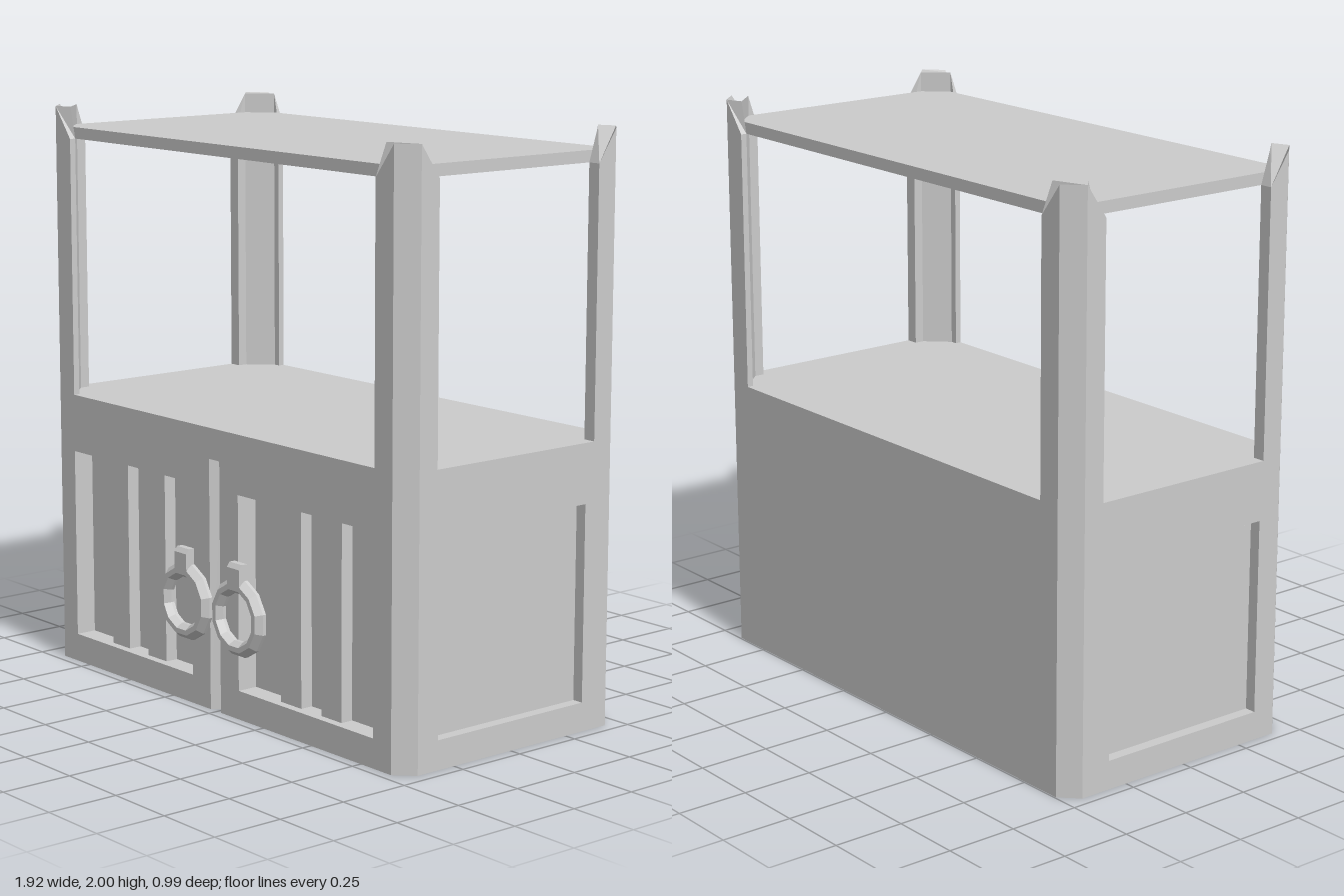
import * as THREE from 'three';

const mat = new THREE.MeshStandardMaterial({ color: 0xcccccc, flatShading: true, side: THREE.DoubleSide });

const HX = 0.96, HZ = 0.48, CH = 0.06; // half width, half depth, corner chamfer
const BODY_H = 0.98, TOTAL_H = 2, PANEL_LOW = 0.1, PANEL_HIGH = 0.775;

function mesh(name, geometry, parent) {
  const m = new THREE.Mesh(geometry, mat);
  m.name = name;
  parent.add(m);
  return m;
}

const path = (pts, Type = THREE.Shape) => new Type(pts.map(([x, y]) => new THREE.Vector2(x, y)));
const rect = (x0, x1, y0, y1) => [[x0, y0], [x1, y0], [x1, y1], [x0, y1]];

// Rectangle with cut corners, as a plan outline
function octagon(hx, hz, c) {
  return path([[hx, hz - c], [hx - c, hz], [c - hx, hz], [-hx, hz - c],
    [-hx, c - hz], [c - hx, -hz], [hx - c, -hz], [hx, c - hz]]);
}

// Plan outline raised to a given height
function raise(shape, y0, height) {
  const g = new THREE.ExtrudeGeometry(shape, { depth: height, bevelEnabled: false });
  return g.rotateX(-Math.PI / 2).translate(0, y0, 0);
}

// Box without its front, set back behind a wall at z = 0
function recess(x0, x1, depth) {
  const g = new THREE.BoxGeometry(x1 - x0, PANEL_HIGH - PANEL_LOW, depth);
  const index = Array.from(g.index.array);
  index.splice(24, 6);
  g.setIndex(index);
  return g.translate((x0 + x1) / 2, (PANEL_LOW + PANEL_HIGH) / 2, -depth / 2);
}

// Thin wall with recessed panels
function wall(name, outline, panels, depth) {
  const group = new THREE.Group();
  group.name = name;
  const shape = path(outline);
  for (const [a, b] of panels) {
    shape.holes.push(path(rect(a, b, PANEL_LOW, PANEL_HIGH), THREE.Path));
    mesh('recessedPanel', recess(a, b, depth), group);
  }
  mesh('frame', new THREE.ShapeGeometry(shape), group);
  return group;
}

// Bent corner post, its two ends sloping down to the top board
function cornerPost(sx, sz) {
  const section = [[0.815, 0.48], [0.9, 0.48], [0.96, 0.42], [0.96, 0.345],
    [0.915, 0.345], [0.915, 0.38], [0.84, 0.458], [0.815, 0.458]];
  const g = raise(path(section.map(([x, z]) => [x * sx, -z * sz])), BODY_H, TOTAL_H - BODY_H);
  const p = g.attributes.position;
  for (let i = 0; i < p.count; i++) {
    const atEnd = Math.abs(p.getX(i)) < 0.82 || Math.abs(p.getZ(i)) < 0.35;
    if (atEnd && p.getY(i) > 1.5) p.setY(i, 1.89);
  }
  g.computeVertexNormals();
  return g;
}

// Ring pull with a small mounting tab
function ringHandle() {
  const group = new THREE.Group();
  group.name = 'ringHandle';
  const profile = [[0.085, 0], [0.137, 0], [0.137, 0.012], [0.118, 0.034], [0.1, 0.034], [0.085, 0.012], [0.085, 0]];
  const ring = new THREE.LatheGeometry(profile.map(([r, y]) => new THREE.Vector2(r, y)), 12);
  mesh('ring', ring.rotateY(Math.PI / 12).rotateX(Math.PI / 2), group);
  const tab = path([[0, 0.1], [0.034, 0.1], [0.034, 0.172], [0.022, 0.188], [0, 0.188]]);
  const g = new THREE.ExtrudeGeometry(tab, { depth: 0.066, bevelEnabled: false });
  mesh('tab', g.rotateY(-Math.PI / 2).translate(0.033, 0, 0), group);
  return group;
}

export function createModel() {
  const model = new THREE.Group();
  model.name = 'cabinet';
  const body = new THREE.Group();
  body.name = 'body';
  body.position.set(-0.003, 0, -0.015);
  model.add(body);

  // Front with two door panels and a notch for the centre groove
  const fx = HX - CH, sz = HZ - CH;
  const gl = -0.032, gr = 0.024, gm = -0.003, gTop = 0.873, gDepth = 0.035;
  const front = wall('doorFront',
    [[-fx, 0], [gl, 0], [gl, gTop], [gr, gTop], [gr, 0], [fx, 0], [fx, BODY_H], [-fx, BODY_H]],
    [[-0.817, -0.132], [0.123, 0.813]], 0.075);
  front.position.z = HZ;
  body.add(front);

  // Raised slats inside the door panels
  for (const [a, b] of [[-0.637, -0.537], [-0.427, -0.322], [0.313, 0.418], [0.523, 0.623]]) {
    const slat = new THREE.BoxGeometry(b - a, PANEL_HIGH - PANEL_LOW, 0.045);
    mesh('slat', slat.translate((a + b) / 2, (PANEL_LOW + PANEL_HIGH) / 2, -0.052), front);
  }

  // V-shaped groove between the doors
  const groove = new THREE.BufferGeometry();
  groove.setAttribute('position', new THREE.Float32BufferAttribute([
    gl, 0, 0, gm, 0, -gDepth, gr, 0, 0,
    gl, gTop, 0, gm, gTop, -gDepth, gr, gTop, 0], 3));
  groove.setIndex([0, 1, 4, 0, 4, 3, 1, 2, 5, 1, 5, 4, 3, 4, 5]);
  groove.computeVertexNormals();
  mesh('doorGroove', groove, front);

  // Side walls with one panel each
  for (const s of [1, -1]) {
    const c = -0.0125 * s;
    const side = wall('sideWall', rect(-sz, sz, 0, BODY_H), [[c - 0.322, c + 0.322]], 0.04);
    side.rotation.y = s * Math.PI / 2;
    side.position.x = s * HX;
    body.add(side);
  }

  // Plain back wall
  const back = wall('backWall', rect(-fx, fx, 0, BODY_H), [], 0);
  back.rotation.y = Math.PI;
  back.position.z = -HZ;
  body.add(back);

  // Chamfered corners below, posts above
  for (const sx of [1, -1]) {
    for (const s of [1, -1]) {
      const corner = new THREE.PlaneGeometry(CH * Math.SQRT2, BODY_H);
      corner.rotateY(Math.atan2(sx, s));
      corner.translate(sx * (HX - CH / 2), BODY_H / 2, s * (HZ - CH / 2));
      mesh('cornerFace', corner, body);
      mesh('cornerPost', cornerPost(sx, s), body);
    }
  }

  // Counter surface and top board
  const counter = new THREE.ShapeGeometry(octagon(HX, HZ, CH));
  mesh('counter', counter.rotateX(-Math.PI / 2).translate(0, BODY_H, 0), body);
  mesh('topBoard', raise(octagon(0.915, 0.458, 0.076), 1.89, 0.04), body);

  // Ring handles
  for (const x of [-0.152, 0.138]) {
    const handle = ringHandle();
    handle.position.set(x, 0.36, HZ);
    front.parent.add(handle);
  }
  return model;
}
